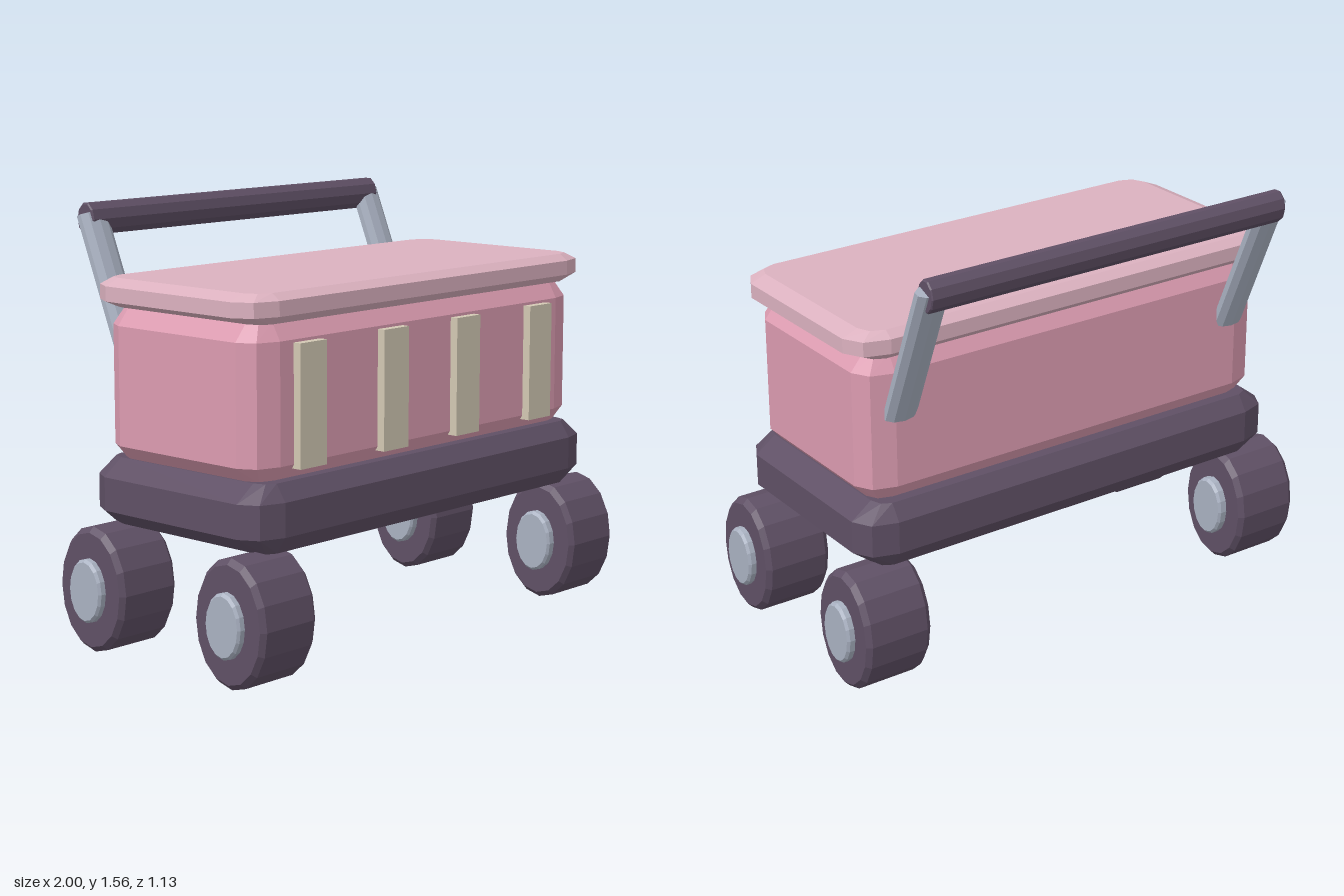
import * as THREE from 'three';
import { ConvexGeometry } from 'three/addons/geometries/ConvexGeometry.js';

const mat = (name, color) => {
  const m = new THREE.MeshStandardMaterial({ color, flatShading: true });
  m.name = name;
  return m;
};

// Rounded box with two-facet corners; levels are [y, inset in x, inset in z]
function facetedBox(hx, hz, rx, rz, levels) {
  const points = [];
  for (const [y, ix, iz] of levels)
    for (const sx of [-1, 1])
      for (const sz of [-1, 1])
        for (let i = 0; i <= 2; i++) {
          const a = (i * Math.PI) / 4;
          const cx = Math.max(rx - ix, 0.04), cz = Math.max(rz - iz, 0.04);
          points.push(new THREE.Vector3(
            sx * (hx - ix - cx * (1 - Math.cos(a))), y,
            sz * (hz - iz - cz * (1 - Math.sin(a)))));
        }
  return new ConvexGeometry(points);
}

// Chamfered drum lying along x
function drum(radius, half, chamfer, sides, squash) {
  const profile = [
    [0, -half], [radius - chamfer, -half], [radius, -half + chamfer],
    [radius, half - chamfer], [radius - chamfer, half], [0, half],
  ].map(([r, y]) => new THREE.Vector2(r, y));
  return new THREE.LatheGeometry(profile, sides).rotateZ(Math.PI / 2).scale(1, 1, squash);
}

export function createModel() {
  const group = new THREE.Group();
  group.name = 'pushCart';
  const pink = mat('pink', 0xdb9bb0);
  const palePink = mat('palePink', 0xdbb1bf);
  const plum = mat('plum', 0x5f5065);
  const metal = mat('metal', 0xa9b1c1);
  const cream = mat('cream', 0xd2c8b3);

  const add = (name, geometry, material, x = 0, y = 0, z = 0) => {
    const mesh = new THREE.Mesh(geometry, material);
    mesh.name = name;
    mesh.position.set(x, y, z);
    group.add(mesh);
    return mesh;
  };

  // Base tray, box and lid
  const cz = 0.057;
  add('baseTray', facetedBox(0.91, 0.427, 0.13, 0.1,
    [[0.45, 0.08, 0.04], [0.51, 0, 0], [0.63, 0, 0], [0.69, 0.08, 0.04]]), plum, 0, 0, cz);
  add('box', facetedBox(0.87, 0.377, 0.12, 0.09,
    [[0.685, 0.05, 0.035], [0.74, 0, 0], [1.165, 0, 0], [1.226, 0.05, 0.035]]), pink, 0, 0, cz);
  add('lid', facetedBox(0.91, 0.405, 0.13, 0.1,
    [[1.225, 0.075, 0.035], [1.253, 0, 0], [1.306, 0, 0], [1.33, 0.06, 0.033]]), palePink, 0, 0, cz);

  // Front slats
  for (const x of [-0.62, -0.197, 0.197, 0.62])
    add('slat', new THREE.BoxGeometry(0.13, 0.43, 0.045), cream, x, 0.94, 0.4425);

  for (const side of [-1, 1]) {
    // Wheels with hubs
    for (const z of [0.398, -0.288]) {
      add('wheel', drum(0.228, 0.1325, 0.02, 16, 0.725), plum, side * 0.8375, 0.23, z);
      add('hub', drum(0.116, 0.165, 0.01, 16, 0.7), metal, side * 0.835, 0.23, z);
    }
    // Sloping handle posts
    const low = new THREE.Vector3(side * 0.725, 1.0, -0.303);
    const high = new THREE.Vector3(side * 0.725, 1.525, -0.52);
    const dir = high.clone().sub(low);
    const post = add('handlePost',
      new THREE.CylinderGeometry(0.067, 0.067, dir.length(), 10).scale(1, 1, 0.5), metal);
    post.position.copy(low).add(high).multiplyScalar(0.5);
    post.quaternion.setFromUnitVectors(new THREE.Vector3(0, 1, 0), dir.normalize());
  }

  // Handle bar
  add('handleBar', drum(0.06, 0.757, 0.005, 10, 0.73), plum, 0, 1.509, -0.521);
  return group;
}
